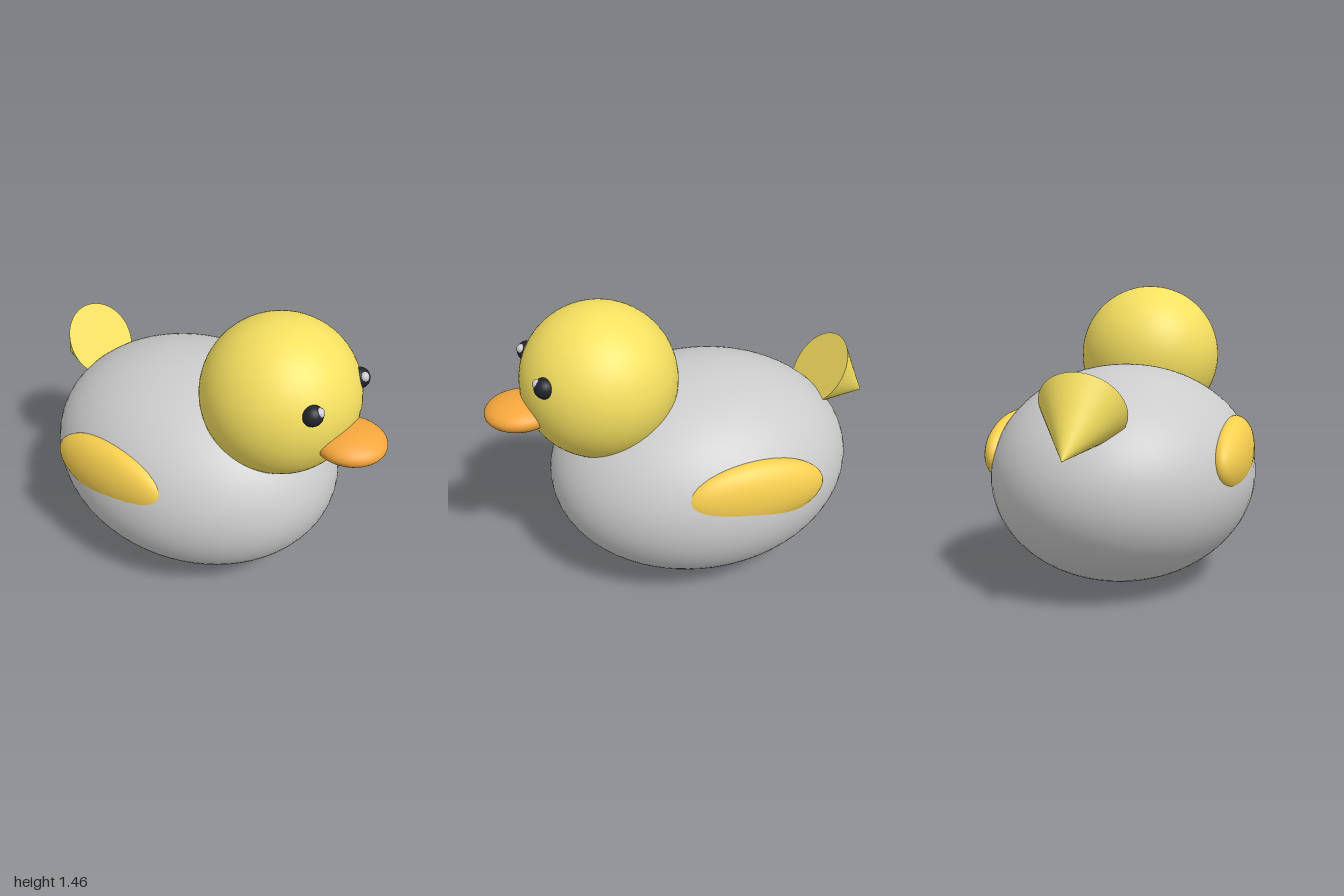
import * as THREE from 'three';

const mat = (color) => new THREE.MeshStandardMaterial({ color });

// Smooth ellipsoid with centre c and radii r
function ellipsoid(name, material, c, r, w = 48, h = 32) {
  const mesh = new THREE.Mesh(new THREE.SphereGeometry(1, w, h), material);
  mesh.name = name;
  mesh.position.set(...c);
  mesh.scale.set(...r);
  return mesh;
}

export function createModel() {
  const model = new THREE.Group();
  model.name = 'duck';

  const grey = mat(0xcccccc);
  const yellow = mat(0xf5e060);
  const wingYellow = mat(0xf8d050);
  const orange = mat(0xf5a63c);
  const dark = mat(0x22242c);

  // Body, head and beak
  model.add(ellipsoid('body', grey, [-0.06, 0.535, 0], [0.777, 0.533, 0.65], 64, 48));
  model.add(ellipsoid('head', yellow, [0.448, 1.09, 0], [0.374, 0.374, 0.374], 64, 48));
  model.add(ellipsoid('beak', orange, [0.83, 1.0, 0], [0.168, 0.072, 0.163]));

  // Wings, eyes and eye highlights on both flanks
  for (const [side, s] of [['front', 1], ['back', -1]]) {
    const wing = ellipsoid(side + 'Wing', wingYellow, [-0.13, 0.655, s * 0.55], [0.352, 0.175, 0.1]);
    wing.rotation.z = 0.05;
    model.add(wing);
    model.add(ellipsoid(side + 'Eye', dark, [0.74, 1.2, s * 0.187], [0.049, 0.049, 0.049], 24, 16));
    model.add(ellipsoid(side + 'EyeHighlight', grey, [0.768, 1.22, s * 0.178], [0.024, 0.024, 0.024], 16, 12));
  }

  // Tail: cone with its point backwards and its flat base against the body
  const apex = new THREE.Vector3(-1, 0.735, 0);
  const base = new THREE.Vector3(-0.73, 0.92, 0);
  const axis = apex.clone().sub(base);
  const tail = new THREE.Mesh(new THREE.ConeGeometry(0.198, axis.length(), 48), yellow);
  tail.name = 'tail';
  tail.position.copy(apex).add(base).multiplyScalar(0.5);
  tail.quaternion.setFromUnitVectors(new THREE.Vector3(0, 1, 0), axis.normalize());
  model.add(tail);

  return model;
}
